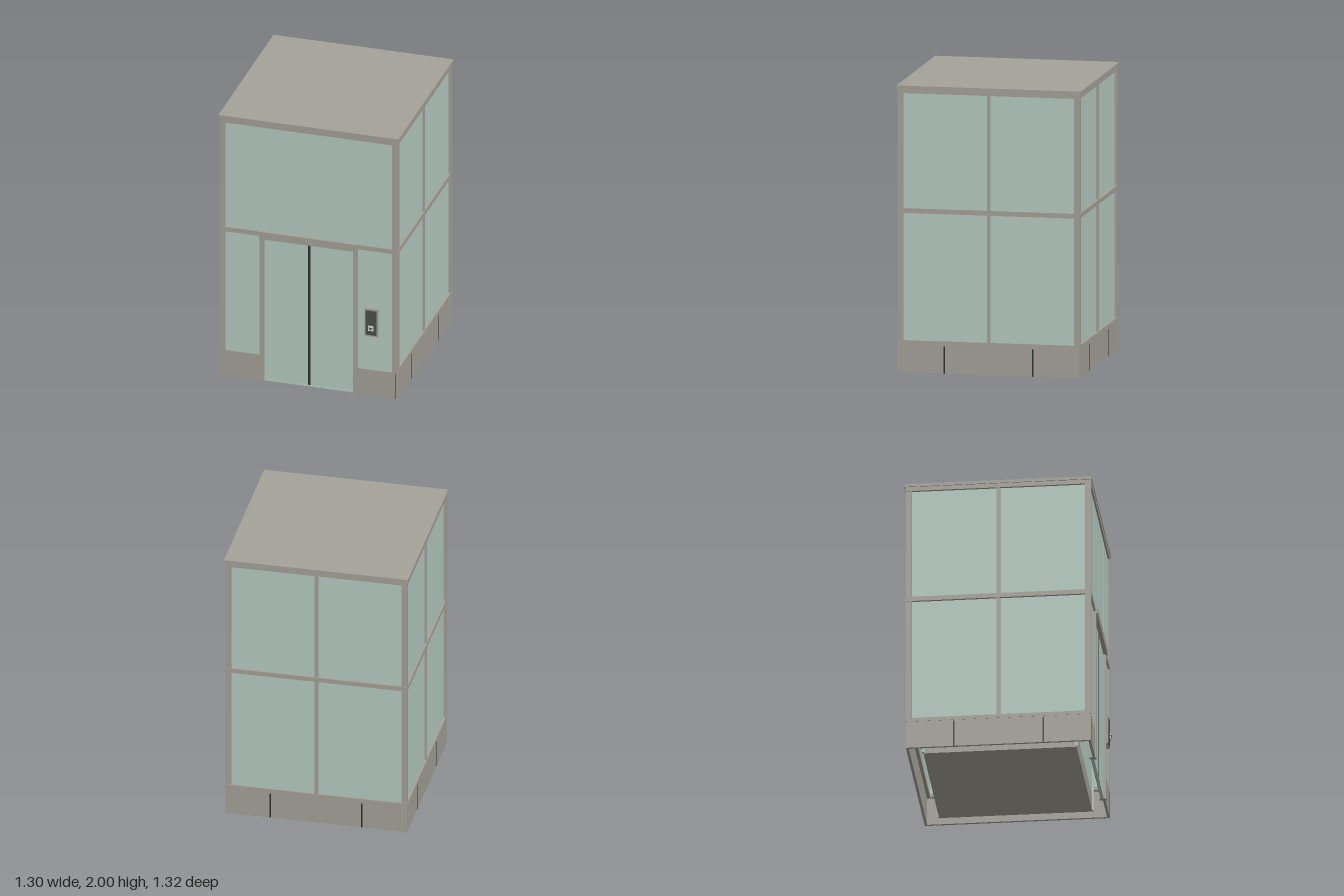
import * as THREE from 'three';

const material = (name, color) => {
  const m = new THREE.MeshStandardMaterial({ color });
  m.name = name;
  return m;
};

export function createModel() {
  const metal = material('warm grey metal', 0xa5a298);
  const glass = material('pale green glass', 0xb5ccc2);
  const dark = material('dark rubber', 0x2a3030);
  const screen = material('panel grey', 0x48514d);
  const light = material('button white', 0xd4d8d3);

  const model = new THREE.Group();
  model.name = 'liftShaft';

  // Box given by its limits on each axis
  const box = (name, mat, x0, x1, y0, y1, z0, z1, parent = model) => {
    const mesh = new THREE.Mesh(new THREE.BoxGeometry(x1 - x0, y1 - y0, z1 - z0), mat);
    mesh.position.set((x0 + x1) / 2, (y0 + y1) / 2, (z0 + z1) / 2);
    mesh.name = name;
    parent.add(mesh);
  };
  // Box repeated on the other side of x = 0
  const pair = (name, mat, x0, x1, ...rest) => {
    box(name + 'Left', mat, x0, x1, ...rest);
    box(name + 'Right', mat, -x1, -x0, ...rest);
  };

  const F = 0.63, B = -0.65, W = 0.64, C = -0.01;

  // Roof and fascia
  box('roofSlab', metal, -0.648, 0.648, 1.978, 2, -0.66, 0.636);
  box('roofFascia', metal, -0.642, 0.642, 1.947, 1.978, -0.652, 0.632);

  // Corner posts
  pair('frontPost', metal, 0.6, W, 0.2, 1.947, 0.59, F);
  pair('backPost', metal, 0.6, W, 0.2, 1.947, B, -0.61);

  // Side and back walls: glass and mullions
  for (const [y0, y1] of [[0.225, 1.112], [1.145, 1.947]]) {
    pair('sideGlass', glass, 0.605, 0.625, y0, y1, -0.61, 0.59);
    pair('sideMullion', metal, 0.6, 0.638, y0, y1, C - 0.012, C + 0.012);
    box('backGlass', glass, -0.6, 0.6, y0, y1, -0.635, -0.615);
    box('backMullion', metal, -0.012, 0.012, y0, y1, -0.648, -0.61);
  }

  // Side and back rails, and skirt
  pair('sideMidRail', metal, 0.6, 0.642, 1.112, 1.145, -0.652, 0.632);
  pair('sideBottomRail', metal, 0.6, 0.642, 0.198, 0.225, -0.652, F);
  pair('sideSkirt', metal, 0.622, W, 0, 0.198, B, F);
  box('backMidRail', metal, -0.6, 0.6, 1.112, 1.145, -0.652, -0.61);
  box('backBottomRail', metal, -0.6, 0.6, 0.198, 0.225, -0.652, -0.61);
  box('backSkirt', metal, -0.622, 0.622, 0, 0.198, B, -0.632);

  // Open joints between skirt panels
  for (const z of [0.3, -0.32]) {
    pair('sideSkirtJoint', dark, 0.636, 0.641, 0, 0.19, z - 0.005, z + 0.005);
  }
  pair('backSkirtJoint', dark, 0.317, 0.327, 0, 0.19, -0.651, -0.646);
  pair('frontSkirtJoint', dark, 0.622, 0.625, 0, 0.19, 0.626, 0.631);

  // Front wall
  pair('frontSkirt', metal, 0.35, 0.622, 0, 0.198, 0.612, F);
  pair('frontLowerGlass', glass, 0.35, 0.6, 0.198, 1.112, 0.6, 0.619);
  pair('frontMidRail', metal, 0.35, 0.6, 1.112, 1.145, 0.59, 0.632);
  box('frontUpperGlass', glass, -0.32, 0.32, 1.145, 1.947, 0.6, 0.619);
  pair('frontUpperSideGlass', glass, 0.335, 0.6, 1.145, 1.947, 0.6, 0.619);
  pair('glassJoint', glass, 0.32, 0.335, 1.145, 1.947, 0.58, 0.6);
  pair('glassJointFoot', glass, 0.32, 0.335, 1.145, 1.19, 0.6, 0.61);

  // Doorway and sliding doors
  pair('doorJamb', metal, 0.32, 0.352, 0, 1.095, 0.59, 0.637);
  box('doorHeader', metal, -0.352, 0.352, 1.095, 1.15, 0.59, 0.645);
  pair('slidingDoor', glass, 0.01, 0.32, 0.012, 1.095, 0.595, 0.617);
  box('doorSeal', dark, -0.01, 0.01, 0.012, 1.095, 0.593, 0.618);
  box('doorSill', glass, -0.32, 0.32, 0, 0.012, 0.597, 0.62);

  // Call panel with two-way button
  const panel = new THREE.Group();
  panel.name = 'callPanel';
  model.add(panel);
  box('panelBack', metal, 0.405, 0.5, 0.46, 0.67, 0.617, 0.64, panel);
  box('panelFace', screen, 0.415, 0.49, 0.472, 0.657, 0.64, 0.646, panel);
  box('panelBezel', screen, 0.43, 0.476, 0.505, 0.55, 0.646, 0.65, panel);
  box('panelButton', light, 0.434, 0.472, 0.509, 0.546, 0.65, 0.656, panel);
  const arrowShape = new THREE.Shape([
    [0.438, 0.536], [0.453, 0.517], [0.468, 0.536], [0.453, 0.529],
  ].map(([x, y]) => new THREE.Vector2(x, y)));
  const arrow = new THREE.Mesh(
    new THREE.ExtrudeGeometry(arrowShape, { depth: 0.004, bevelEnabled: false }), dark);
  arrow.position.z = 0.656;
  arrow.name = 'buttonArrow';
  panel.add(arrow);

  // Cabin inside the shaft: floor slab, walls and glass corners reaching the floor
  box('cabinFloor', metal, -0.53, 0.53, 0.004, 0.12, C - 0.53, C + 0.53);
  pair('cabinSideGlass', glass, 0.518, 0.53, 0.12, 1.08, C - 0.53, C + 0.53);
  box('cabinBackGlass', glass, -0.518, 0.518, 0.12, 1.08, C - 0.53, C - 0.518);
  box('cabinFrontGlass', glass, -0.518, 0.518, 0.12, 1.08, C + 0.518, C + 0.53);
  for (const z of [C - 0.53, C + 0.53]) {
    pair('cabinCorner', glass, 0.52, 0.54, 0.01, 1.08, z - 0.01, z + 0.01);
  }
  box('cabinRoof', metal, -0.54, 0.54, 1.08, 1.1, C - 0.54, C + 0.54);

  return model;
}
